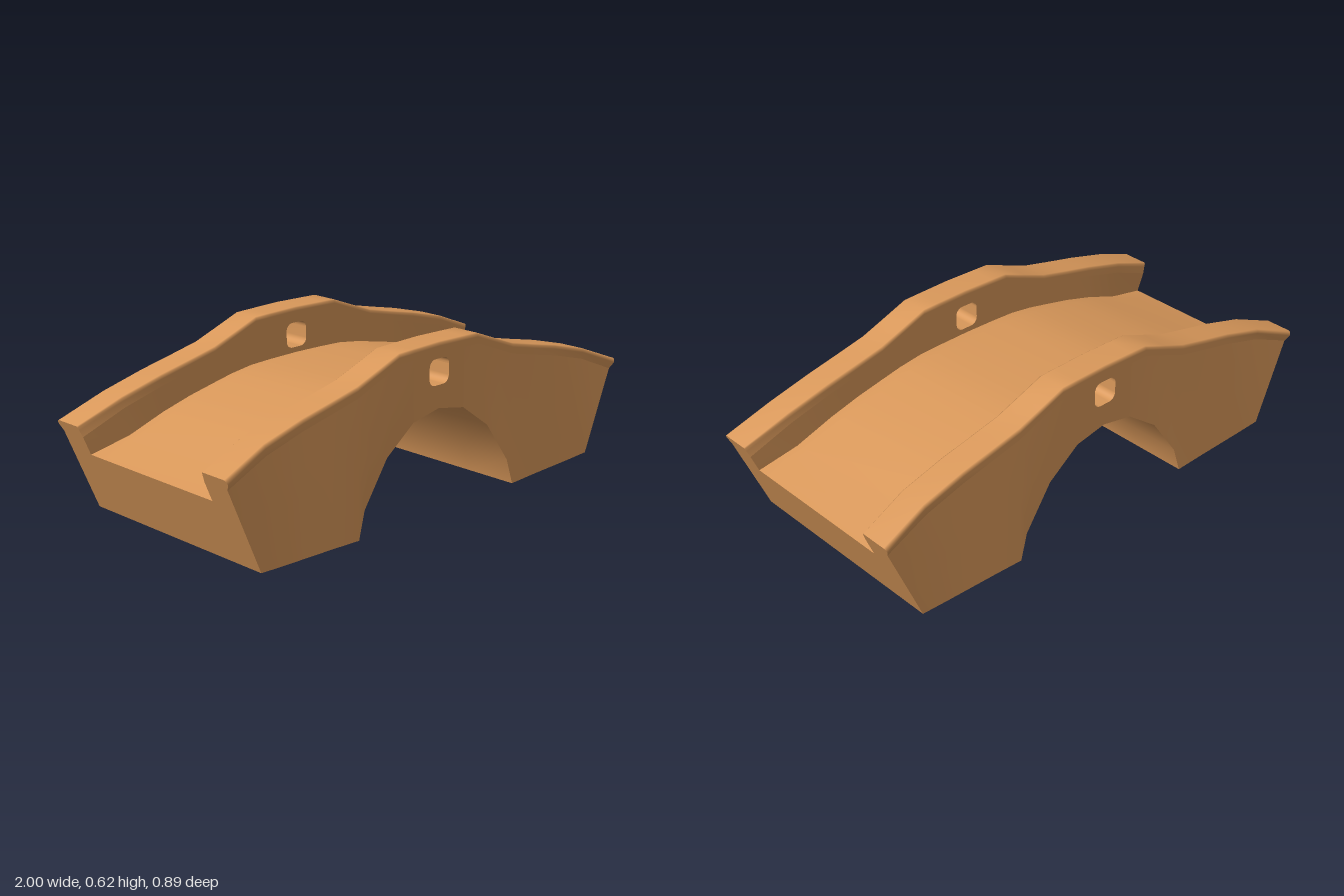
import * as THREE from 'three';

const material = new THREE.MeshStandardMaterial({ color: 0xd9985a, side: THREE.DoubleSide });

// Half of the stations along the span:
// [bottom x, bottom y, top x, top y, deck y, half width at the bottom, flare]
const HALF = [
  [0, 0.38, 0, 0.62, 0.455, 0.42, 0],
  [0.13, 0.355, 0.13, 0.617, 0.453, 0.42, 0],
  [0.262, 0.26, 0.2, 0.615, 0.449, 0.422, 0],
  [0.375, 0.1, 0.3, 0.577, 0.436, 0.426, 0],
  [0.405, 0, 0.4, 0.54, 0.42, 0.43, 0],
  [0.53, 0.005, 0.52, 0.513, 0.394, 0.43, 0],
  [0.64, 0.008, 0.65, 0.485, 0.36, 0.43, 0],
  [0.75, 0.011, 0.82, 0.44, 0.307, 0.43, 0.003],
  [0.85, 0.015, 1, 0.37, 0.26, 0.43, 0.02],
];
const ARCH = 4; // last half-station that belongs to the arch
const mirrorX = ([bx, by, tx, ...rest]) => [-bx, by, -tx, ...rest];
const STATIONS = [...HALF.slice(1).reverse().map(mirrorX), ...HALF];
const MID = HALF.length - 1;

// A point on a station at height y; stations lean towards the ends
function at([bx, by, tx, ty], y, z) {
  return [bx + (tx - bx) * (y - by) / (ty - by), y, z];
}
const dip = (s) => (s[6] > 0.01 ? 0 : 0.01);

// Cross-sections of one side, from the outside foot to the deck
const wall = (s) => [0, 0.5, 1].map((t) =>
  at(s, s[1] + (s[3] - 0.04 - s[1]) * t, s[5] + (0.42 + s[6] * 0.5 - s[5]) * t));
const coping = (s) => [
  [-0.04, 0.42 + s[6] * 0.5],
  [-0.015, 0.42 + s[6] * 1.25],
  [-0.004, 0.42 + s[6] * 1.1],
  [0, 0.414 + s[6]],
  [0, 0.311 + s[6]],
  [-0.004, 0.305 + s[6] * 1.1],
  [-0.015, 0.305 + s[6]],
  [-0.04, 0.305 + s[6] * 0.75],
].map(([dy, z]) => at(s, s[3] + dy, z));
const innerWall = (s) => [
  at(s, s[3] - 0.04, 0.305 + s[6] * 0.75),
  at(s, s[4] - dip(s), 0.305 + s[6] * 0.75),
];
const deckRow = (s) => {
  const edge = 0.305 + s[6] * 0.75;
  return [
    at(s, s[4] - dip(s), edge), at(s, s[4], 0.25),
    at(s, s[4], -0.25), at(s, s[4] - dip(s), -edge),
  ];
};
const soffitRow = (s) => [-1, -0.5, 0, 0.5, 1].map((k) => [s[0], s[1], s[5] * k]);

// Smooth surface through rows of points
function grid(rows) {
  const n = rows[0].length, index = [];
  for (let i = 0; i < rows.length - 1; i++) {
    for (let j = 0; j < n - 1; j++) {
      const a = i * n + j, b = a + n;
      index.push(a, b, a + 1, b, b + 1, a + 1);
    }
  }
  const g = new THREE.BufferGeometry();
  g.setAttribute('position', new THREE.Float32BufferAttribute(rows.flat(2), 3));
  g.setIndex(index);
  g.computeVertexNormals();
  return g;
}

function add(parent, name, geometry) {
  const mesh = new THREE.Mesh(geometry, material);
  mesh.name = name;
  parent.add(mesh);
  return mesh;
}

// Rounded drain opening in the middle of the parapet
function opening() {
  const p = new THREE.Path(), r = 0.028, w = 0.05 - r, h = 0.048 - r, y = 0.513, q = Math.PI / 2;
  [[w, h], [-w, h], [-w, -h], [w, -h]].forEach(([cx, cy], i) =>
    p.absarc(cx, y + cy, r, i * q, (i + 1) * q, false));
  p.closePath();
  return p;
}

// Middle panel with the opening cut through it
function panel(outline) {
  const shape = new THREE.Shape(outline.map(([x, y]) => new THREE.Vector2(x, y)));
  shape.holes.push(opening());
  return new THREE.ShapeGeometry(shape, 4);
}

function createSide(name) {
  const side = new THREE.Group();
  side.name = name;
  const left = STATIONS.slice(0, MID), right = STATIONS.slice(MID + 1);

  add(side, 'outerWallRight', grid(left.map(wall)));
  add(side, 'outerWallLeft', grid(right.map(wall)));
  add(side, 'innerWallRight', grid(left.map(innerWall)));
  add(side, 'innerWallLeft', grid(right.map(innerWall)));
  add(side, 'coping', grid(STATIONS.map(coping)));

  const top = [[0.13, 0.577], [0, 0.58], [-0.13, 0.577]];
  const outer = panel([[-0.13, 0.355], [0, 0.38], [0.13, 0.355], ...top]);
  add(side, 'outerCentrePanel', outer.translate(0, 0, 0.42));
  const inner = panel([[-0.13, 0.443], [0, 0.445], [0.13, 0.443], ...top]);
  add(side, 'innerCentrePanel', inner.rotateY(Math.PI).translate(0, 0, 0.305));
  add(side, 'openingLining', grid(opening().getPoints(4).map(({ x, y }) =>
    [[x, y, 0.42], [x, y, 0.305]])));
  return side;
}

// Sloping end face that closes the deck and both parapet ends
function endFace() {
  const s = STATIONS[STATIONS.length - 1];
  const half = [...wall(s), ...coping(s).slice(1), innerWall(s)[1]];
  const loop = [...half, ...half.map(([x, y, z]) => [x, y, -z]).reverse()];
  const g = new THREE.ShapeGeometry(
    new THREE.Shape(loop.map(([, y, z]) => new THREE.Vector2(z, y))));
  const p = g.attributes.position;
  for (let i = 0; i < p.count; i++) {
    p.setXYZ(i, at(s, p.getY(i), 0)[0], p.getY(i), -p.getX(i));
  }
  g.computeVertexNormals();
  return g;
}

export function createModel() {
  const bridge = new THREE.Group();
  bridge.name = 'archBridge';

  // Front and back sides
  bridge.add(createSide('frontSide'));
  const back = createSide('backSide');
  back.rotation.y = Math.PI;
  bridge.add(back);

  // Roadway and the vault below; the feet stay open underneath
  add(bridge, 'deck', grid(STATIONS.map(deckRow)));
  add(bridge, 'archVault', grid(STATIONS.slice(MID - ARCH, MID + ARCH + 1).map(soffitRow)));

  // Ends
  add(bridge, 'leftEnd', endFace());
  add(bridge, 'rightEnd', endFace()).rotation.y = Math.PI;
  return bridge;
}
